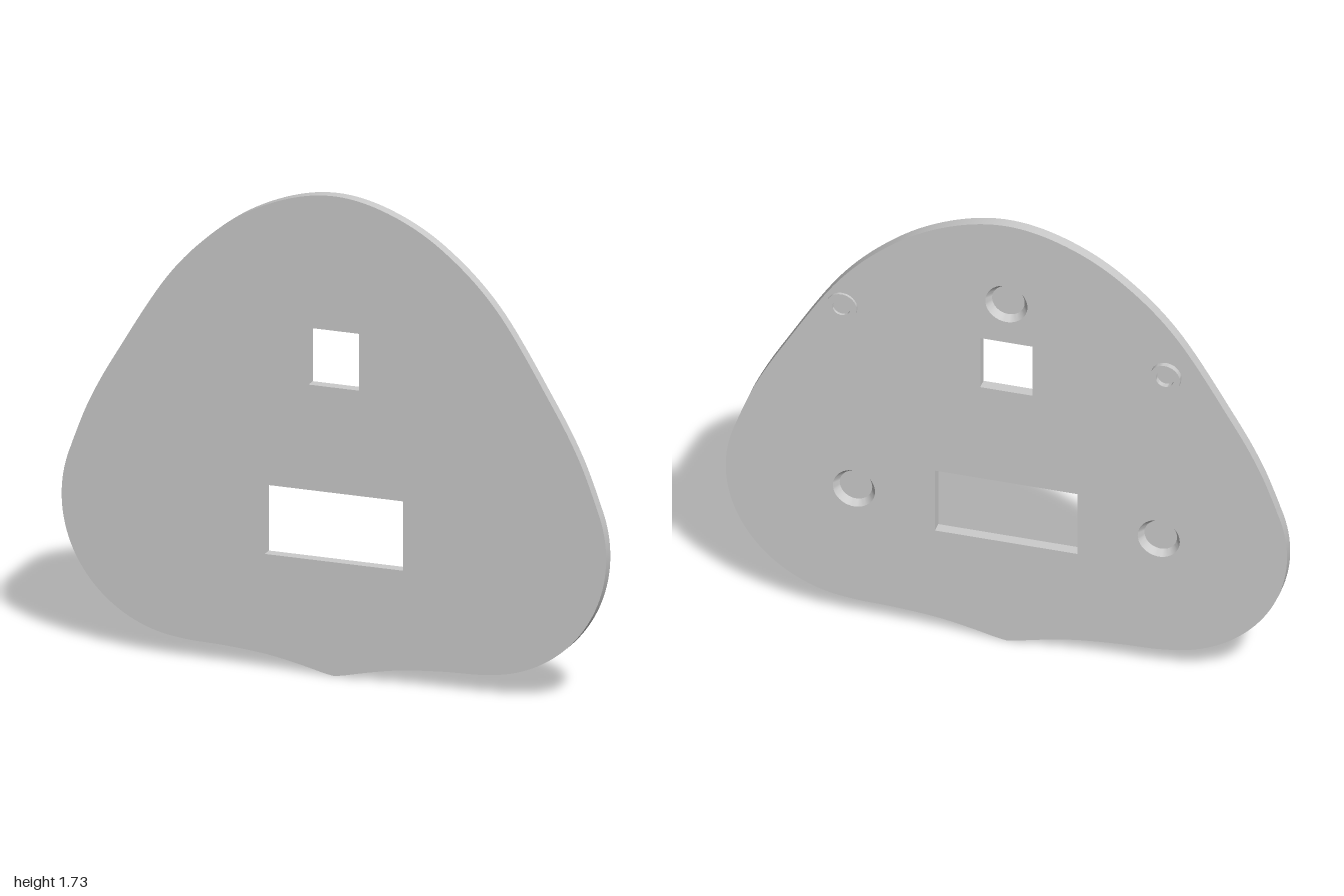
import * as THREE from 'three';
import { toCreasedNormals } from 'three/addons/utils/BufferGeometryUtils.js';

const FRONT = 0.03, BACK = -0.01;
const material = new THREE.MeshStandardMaterial({ color: 0xcccccc, side: THREE.DoubleSide });

function add(group, name, geometry) {
  const mesh = new THREE.Mesh(geometry, material);
  mesh.name = name;
  group.add(mesh);
  return mesh;
}

// Half outline from the bottom point, round the side lobe, to the crown
function outline() {
  const v = (x, y) => new THREE.Vector2(x, y);
  const bottom = new THREE.SplineCurve([
    v(0, 0), v(0.04, 0.007), v(0.13, 0.028), v(0.25, 0.05), v(0.4, 0.063), v(0.52, 0.067), v(0.59, 0.074),
  ]).getPoints(36);
  const lobe = new THREE.EllipseCurve(0.53, 0.54, 0.47, 0.47, -1.4, 0.39).getPoints(40);
  const crown = new THREE.SplineCurve([
    v(0.965, 0.72), v(0.9, 0.885), v(0.8, 1.07), v(0.6, 1.385), v(0.4, 1.58), v(0.2, 1.69), v(0, 1.73),
    v(-0.2, 1.69),
  ]).getPoints(84).slice(0, 73);
  const half = [...bottom, ...lobe, ...crown.slice(1)];
  const mirrored = half.slice(1, -1).reverse().map((p) => v(-p.x, p.y));
  return [...half, ...mirrored];
}

// Clockwise loops for the openings
function rectLoop(w, y0, y1) {
  return [[-w, y0], [-w, y1], [w, y1], [w, y0]].map(([x, y]) => new THREE.Vector2(x, y));
}

function circleLoop(x, y, r) {
  return new THREE.EllipseCurve(x, y, r, r, 0, Math.PI * 2, true).getPoints(48).slice(0, -1);
}

// Edge wall running along a closed loop through the plate thickness
function wall(loop) {
  const pos = [];
  loop.forEach((p, i) => {
    const q = loop[(i + 1) % loop.length];
    const a = [p.x, p.y, BACK], b = [q.x, q.y, BACK], c = [q.x, q.y, FRONT], d = [p.x, p.y, FRONT];
    pos.push(...a, ...b, ...c, ...a, ...c, ...d);
  });
  const g = new THREE.BufferGeometry();
  g.setAttribute('position', new THREE.Float32BufferAttribute(pos, 3));
  return toCreasedNormals(g, 0.5);
}

function face(edge, holes) {
  const shape = new THREE.Shape(edge);
  shape.holes = holes.map((h) => new THREE.Path(h));
  return new THREE.ShapeGeometry(shape);
}

function turned(profile, tilt) {
  const points = profile.map(([r, h]) => new THREE.Vector2(r, h));
  return toCreasedNormals(new THREE.LatheGeometry(points, 48).rotateX(tilt), 0.5);
}

export function createModel() {
  const model = new THREE.Group();
  model.name = 'facePlate';

  const edge = outline();
  const windows = [rectLoop(0.093, 1.04, 1.245), rectLoop(0.254, 0.41, 0.66)];
  const recesses = [[0, 1.405], [0.543, 0.53], [-0.543, 0.53]];

  // Plate skins, rim and window edges
  add(model, 'frontFace', face(edge, windows));
  model.children[0].position.z = FRONT;
  const backHoles = [...windows, ...recesses.map(([x, y]) => circleLoop(x, y, 0.075))];
  add(model, 'backFace', face(edge, backHoles).rotateY(Math.PI)).position.z = BACK;
  add(model, 'rim', wall(edge));
  add(model, 'squareWindowEdge', wall(windows[0]));
  add(model, 'wideWindowEdge', wall(windows[1]));

  // Tapered round recesses in the back
  for (const [x, y] of recesses) {
    add(model, 'backRecess', turned([[0, 0.025], [0.058, 0.025], [0.075, 0]], Math.PI / 2))
      .position.set(x, y, BACK);
  }

  // Raised rings on the back, one taller than the other
  for (const [x, y, h] of [[0.585, 1.285, 0.01], [-0.57, 1.215, 0.02]]) {
    add(model, 'backRing', turned([[0.054, 0], [0.054, h], [0.032, h], [0.032, 0]], -Math.PI / 2))
      .position.set(x, y, BACK);
  }
  return model;
}
